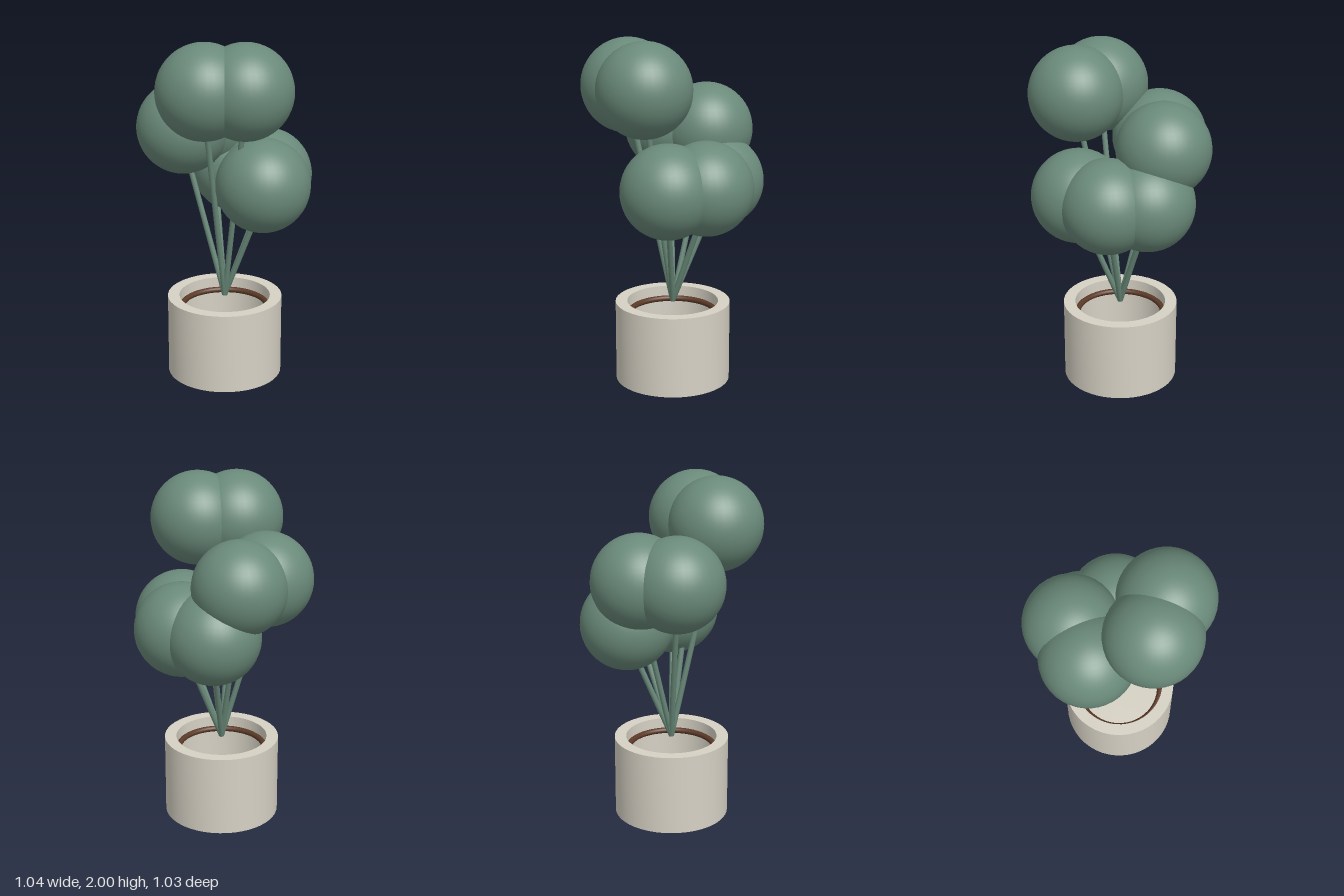
import * as THREE from 'three';
import { toCreasedNormals } from 'three/addons/utils/BufferGeometryUtils.js';

const POT_HEIGHT = 0.47;
const POT_RADIUS = 0.333;
const HOLE_RADIUS = 0.265;
const BALL_RADIUS = 0.267;
const STEM_RADIUS = 0.016;

// Centres of the round foliage heads, in three tiers
const HEADS = [
  [0.02, 1.733, 0.247], [0.21, 1.733, 0.133],
  [-0.253, 1.457, 0.038], [-0.19, 1.457, -0.175],
  [0.25, 1.18, 0], [0.151, 1.18, -0.203], [-0.065, 1.18, -0.248],
];

export function createModel() {
  const foliage = new THREE.MeshStandardMaterial({ name: 'foliageGreen', color: 0x6a8a7a });
  const ceramic = new THREE.MeshStandardMaterial({ name: 'potCream', color: 0xd6d1c4 });
  const earth = new THREE.MeshStandardMaterial({ name: 'soilBrown', color: 0x5c3a28 });

  const model = new THREE.Group();
  model.name = 'pottedPlant';
  const add = (name, geometry, material, parent = model) => {
    const mesh = new THREE.Mesh(geometry, material);
    mesh.name = name;
    parent.add(mesh);
    return mesh;
  };

  // Hollow pot: underside, outer wall, flat rim, inner wall, floor
  const profile = [
    [0, 0], [POT_RADIUS, 0], [POT_RADIUS, POT_HEIGHT],
    [HOLE_RADIUS, POT_HEIGHT], [HOLE_RADIUS, 0.03], [0, 0.03],
  ].map(([x, y]) => new THREE.Vector2(x, y));
  add('pot', toCreasedNormals(new THREE.LatheGeometry(profile, 48), 0.6), ceramic);

  // Thin brown ring around the inside wall
  const ring = add('soilRing', new THREE.TorusGeometry(0.252, 0.017, 10, 48), earth);
  ring.rotation.x = Math.PI / 2;
  ring.position.y = 0.395;

  // Stems fan out from the middle of the pot opening into the heads
  const base = new THREE.Vector3(0, POT_HEIGHT, 0);
  const up = new THREE.Vector3(0, 1, 0);
  const ballGeometry = new THREE.SphereGeometry(BALL_RADIUS, 40, 28);
  for (const centre of HEADS) {
    const branch = new THREE.Group();
    branch.name = 'branch';
    model.add(branch);

    const head = new THREE.Vector3(...centre);
    add('foliageBall', ballGeometry, foliage, branch).position.copy(head);

    const tip = head.clone().setY(head.y - 0.09);
    const along = tip.clone().sub(base);
    const stem = add('stem',
      new THREE.CylinderGeometry(STEM_RADIUS, STEM_RADIUS, along.length(), 12), foliage, branch);
    stem.position.copy(base).addScaledVector(along, 0.5);
    stem.quaternion.setFromUnitVectors(up, along.normalize());
  }
  return model;
}
